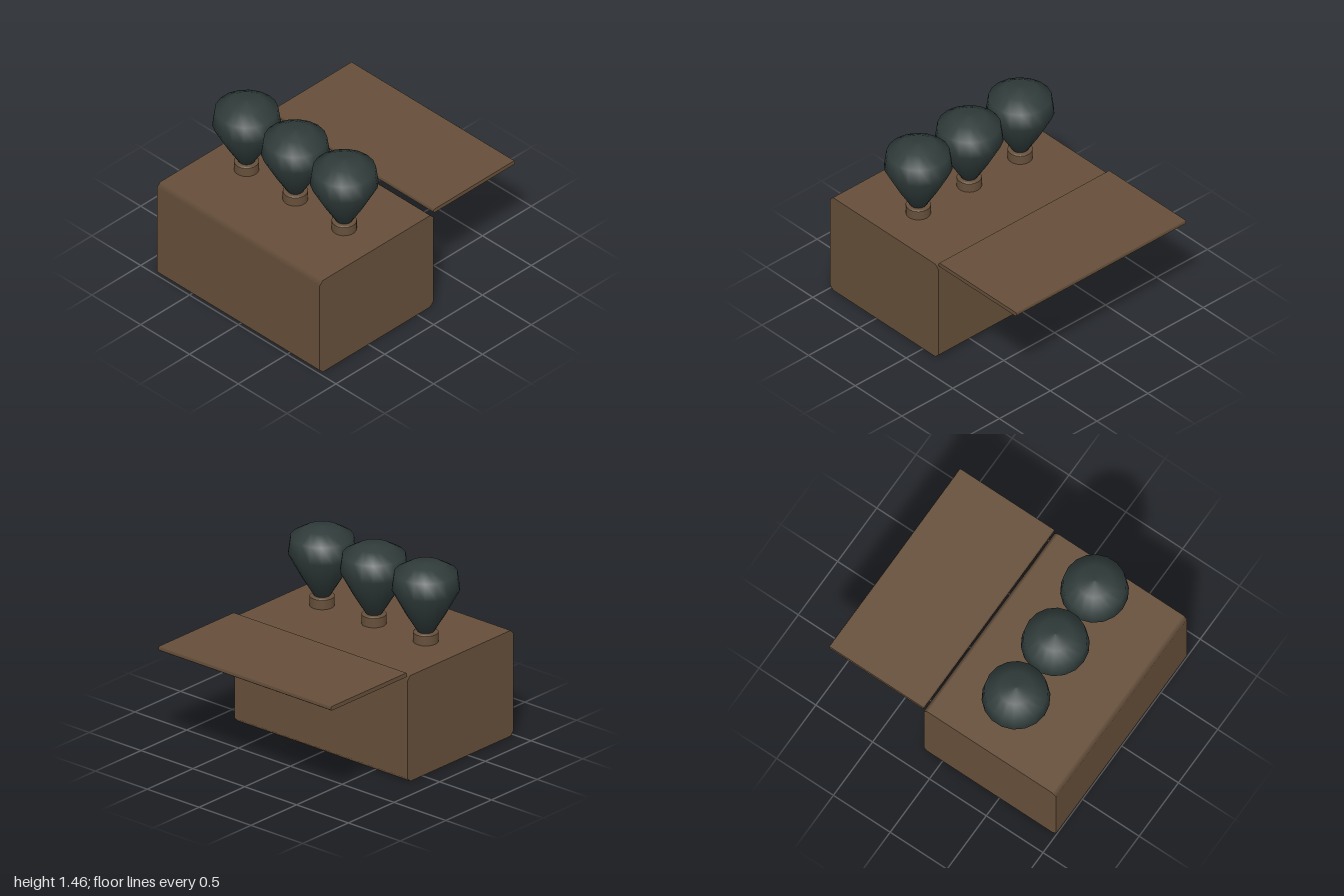
import * as THREE from 'three';

const wood = new THREE.MeshStandardMaterial({ color: 0x664f3a });
wood.name = 'brown wood';
const slate = new THREE.MeshStandardMaterial({ color: 0x2f3b3a });
slate.name = 'dark slate';

// Block along x with its long edges chamfered and softly shaded
function chamferedBlock(width, height, depth, c) {
  const h = height / 2, d = depth / 2;
  const section = new THREE.Shape([
    [d - c, -h], [d, -h + c], [d, h - c], [d - c, h],
    [-d + c, h], [-d, h - c], [-d, -h + c], [-d + c, -h],
  ].map(([x, y]) => new THREE.Vector2(x, y)));
  const geometry = new THREE.ExtrudeGeometry(section, { depth: width, bevelEnabled: false });
  geometry.translate(0, 0, -width / 2).rotateY(-Math.PI / 2);
  // Side normals follow the neighbouring flat face so the chamfers blend
  const p = geometry.attributes.position, n = geometry.attributes.normal;
  for (let i = 0; i < p.count; i++) {
    if (Math.abs(n.getX(i)) > 0.5) continue;
    const y = p.getY(i);
    if (Math.abs(y) > h - c / 2) n.setXYZ(i, 0, Math.sign(y), 0);
    else n.setXYZ(i, 0, 0, Math.sign(p.getZ(i)));
  }
  return geometry;
}

function lathe(points) {
  return new THREE.LatheGeometry(points.map(([r, y]) => new THREE.Vector2(r, y)), 18);
}

function addMesh(parent, name, geometry, material, x, y, z) {
  const mesh = new THREE.Mesh(geometry, material);
  mesh.name = name;
  mesh.position.set(x, y, z);
  parent.add(mesh);
}

export function createModel() {
  const model = new THREE.Group();
  model.name = 'boxWithKnobs';

  // Box body and the lid folded back behind it
  addMesh(model, 'boxBody', chamferedBlock(1.666, 0.833, 1.165, 0.033), wood, 0, 0.4165, 0.4175);
  addMesh(model, 'lid', chamferedBlock(1.666, 0.033, 0.833, 0.008), wood, 0, 0.8515, -0.5835);

  // Three bulb-shaped knobs, each standing in a short collar
  const collarSide = lathe([[0.092, 0], [0.092, 0.074]]);
  const collarRim = lathe([[0.092, 0.074], [0.082, 0.084], [0, 0.084]]);
  const bulb = lathe([
    [0, 0], [0.062, 0], [0.15, 0.145], [0.25, 0.332],
    [0.232, 0.462], [0.127, 0.524], [0, 0.542],
  ]);
  for (const x of [-0.5, 0, 0.5]) {
    const knob = new THREE.Group();
    knob.name = 'knob';
    knob.position.set(x, 0.833, 0.416);
    addMesh(knob, 'collar', collarSide, wood, 0, 0, 0);
    addMesh(knob, 'collarRim', collarRim, wood, 0, 0, 0);
    addMesh(knob, 'bulb', bulb, slate, 0, 0.084, 0);
    model.add(knob);
  }
  return model;
}
